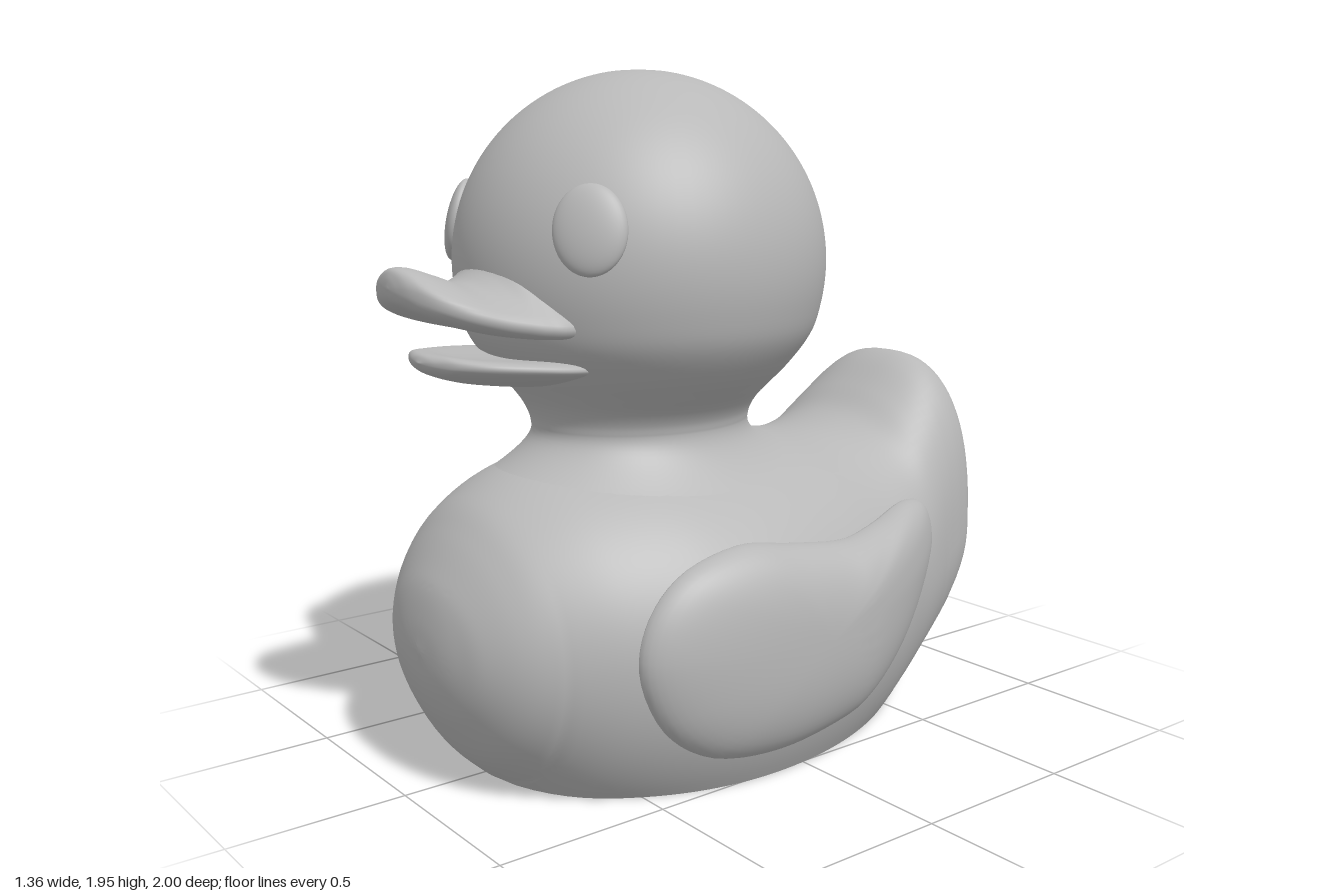
import * as THREE from 'three';
import { mergeVertices, toCreasedNormals } from 'three/addons/utils/BufferGeometryUtils.js';

const V = (x, y, z) => new THREE.Vector3(x, y, z);
const spow = (v, p) => Math.sign(v) * Math.pow(Math.abs(v), p);
const smooth = THREE.MathUtils.smoothstep;
const lerp = THREE.MathUtils.lerp;

// Joins closed cross-section rings into one smooth skin
function loft(rings, flip = false) {
  const n = rings[0].length, pos = [], idx = [];
  rings.forEach(r => r.forEach(p => pos.push(p.x, p.y, p.z)));
  for (let i = 0; i < rings.length - 1; i++) {
    for (let j = 0; j < n; j++) {
      const a = i * n + j, b = i * n + (j + 1) % n, c = b + n, d = a + n;
      if (flip) idx.push(a, d, b, b, d, c);
      else idx.push(a, b, d, b, c, d);
    }
  }
  let g = new THREE.BufferGeometry();
  g.setAttribute('position', new THREE.Float32BufferAttribute(pos, 3));
  g.setIndex(idx);
  g = mergeVertices(g, 1e-4);
  g.computeVertexNormals();
  return g;
}

// Smoothly resamples rows of five numbers
function resample(rows, count) {
  const c1 = new THREE.CatmullRomCurve3(rows.map(r => V(r[0], r[1], r[2])), false, 'catmullrom');
  const c2 = new THREE.CatmullRomCurve3(rows.map(r => V(r[0], r[3], r[4])), false, 'catmullrom');
  return Array.from({ length: count + 1 }, (_, i) => {
    const a = c1.getPoint(i / count), b = c2.getPoint(i / count);
    return [a.x, a.y, a.z, Math.max(0, b.y), b.z];
  });
}

// Body stations from chest to tail: z, top, bottom, half width, height of widest point
const STATIONS = resample([
  [0.945, 0.40, 0.40, 0, 0.4], [0.938, 0.48, 0.32, 0.10, 0.4], [0.92, 0.56, 0.25, 0.18, 0.4],
  [0.89, 0.62, 0.18, 0.26, 0.4], [0.83, 0.71, 0.08, 0.35, 0.4], [0.75, 0.79, 0, 0.42, 0.4],
  [0.6, 0.86, -0.13, 0.515, 0.4], [0.4, 0.90, -0.23, 0.59, 0.4], [0.2, 0.90, -0.29, 0.62, 0.4],
  [0, 0.89, -0.3, 0.615, 0.4], [-0.2, 0.872, -0.27, 0.58, 0.4], [-0.4, 0.855, -0.2, 0.52, 0.4],
  [-0.55, 0.89, -0.12, 0.455, 0.41], [-0.65, 0.965, -0.05, 0.415, 0.43],
  [-0.75, 1.045, 0.02, 0.375, 0.46], [-0.82, 1.068, 0.08, 0.35, 0.49],
  [-0.88, 1.03, 0.17, 0.322, 0.51], [-0.93, 0.91, 0.25, 0.265, 0.52],
  [-0.97, 0.74, 0.35, 0.18, 0.52], [-0.99, 0.63, 0.43, 0.10, 0.52], [-1, 0.52, 0.52, 0, 0.52],
], 120);

function bodyGeometry() {
  const N = 72;
  const rings = STATIONS.map(([z, top, bot, w, cy]) => {
    const p = 2 + 0.6 * (1 - smooth(z, -0.85, -0.4));
    const a0 = bot < 0 ? -Math.asin(Math.min(1, cy / (cy - bot))) : -Math.PI / 2;
    return Array.from({ length: N + 1 }, (_, j) => {
      const a = lerp(a0, Math.PI - a0, j / N), s = Math.sin(a), c = Math.cos(a);
      if (s < 0) return V(w * c, Math.max(0, cy + (cy - bot) * s), z);
      return V(w * spow(c, 2 / p), cy + (top - cy) * spow(s, 2 / p), z);
    });
  });
  return toCreasedNormals(loft(rings, true), 0.6);
}

// Height of the back of the body under the neck
function bodyTop(x, z) {
  const i = STATIONS.findIndex(s => s[0] <= z);
  const a = STATIONS[i - 1], b = STATIONS[i], t = (z - a[0]) / (b[0] - a[0]);
  const [top, w, cy] = [1, 3, 4].map(k => lerp(a[k], b[k], t));
  return cy + (top - cy) * Math.sqrt(Math.max(0, 1 - (x / w) ** 2));
}

const HEAD = V(0, 1.415, 0.2), R = 0.535;

// Round head, narrow neck, and a fillet flaring onto the body
function headGeometry() {
  const N = 72, profile = [];
  for (let i = 0; i <= 12; i++) {
    const a = (i / 12) * 1.95;
    profile.push(V(R * Math.sin(a), HEAD.y + R * Math.cos(a), R * Math.sin(a)));
  }
  profile.push(V(0.43, 1.125, 0.433), V(0.365, 1.065, 0.385), V(0.315, 1.02, 0.355),
    V(0.288, 0.98, 0.338), V(0.28, 0.95, 0.333));
  const around = f => Array.from({ length: N }, (_, j) => f(Math.cos(j / N * 2 * Math.PI), Math.sin(j / N * 2 * Math.PI)));
  const rings = new THREE.CatmullRomCurve3(profile).getPoints(80)
    .map(q => around((c, s) => V(Math.max(0, q.x) * c, q.y, HEAD.z + Math.max(0, q.z) * s)));
  for (let k = 1; k <= 12; k++) {
    const t = k / 12 * Math.PI / 2, f = 1 + 0.45 * (1 - Math.cos(t));
    rings.push(around((c, s) => {
      const x = 0.28 * f * c, z = HEAD.z + 0.333 * f * s;
      return V(x, lerp(0.95, bodyTop(x, z) - 0.004, Math.sin(t)), z);
    }));
  }
  return loft(rings);
}

// Wing: a bean outline (z, y) domed outwards and slightly inwards
function wingGeometry(side) {
  const outline = new THREE.CatmullRomCurve3([
    [0.61, 0.42], [0.58, 0.55], [0.48, 0.65], [0.28, 0.70], [0.1, 0.675], [-0.1, 0.652], [-0.25, 0.67],
    [-0.42, 0.70], [-0.53, 0.67], [-0.575, 0.58], [-0.53, 0.46], [-0.4, 0.3], [-0.2, 0.17],
    [0, 0.115], [0.2, 0.10], [0.4, 0.14], [0.54, 0.25],
  ].map(([z, y]) => V(0, y, z)), true).getPoints(80).slice(0, -1);
  const cz = 0.05, cy = 0.42, rings = [], M = 32;
  for (let i = 0; i <= M; i++) {
    const a = i / M * Math.PI, s = Math.sin(a);
    const dome = Math.sqrt(Math.max(0, 1 - s ** 2.4)) * (a < Math.PI / 2 ? 0.13 : -0.05);
    rings.push(outline.map(p => {
      const z = cz + (p.z - cz) * s, y = cy + (p.y - cy) * s;
      const edge = 0.55 - 0.34 * Math.max(0, -z - 0.1) ** 1.3;
      return V(side * (edge + dome), y, z);
    }));
  }
  return loft(rings, side < 0);
}

// Bill half: rows of z, centre top, centre bottom, half width, edge height
function billGeometry(rows, lip) {
  const N = 48;
  return loft(resample(rows, 48).map(([z, top, bot, w, e]) => {
    const l = lip * Math.min(1, w / 0.12);
    return Array.from({ length: N }, (_, j) => {
      const a = j / N * 2 * Math.PI, s = Math.sin(a), r = Math.abs(s) ** 0.8, r3 = Math.abs(s) ** 3;
      const y = s >= 0 ? e + l * r + (top - e - l) * r3 : e - l * r + (bot - e + l) * r3;
      return V(w * Math.cos(a), y, z);
    });
  }));
}

export function createModel() {
  const duck = new THREE.Group();
  duck.name = 'bathDuck';
  const grey = new THREE.MeshStandardMaterial({ color: 0xb8b8b8 });
  grey.name = 'plain grey';
  const add = (name, geometry) => {
    const mesh = new THREE.Mesh(geometry, grey);
    mesh.name = name;
    duck.add(mesh);
    return mesh;
  };

  add('bodyAndTail', bodyGeometry());
  add('headAndNeck', headGeometry());

  add('upperBill', billGeometry([
    [0.45, 1.46, 1.25, 0.26, 1.27], [0.62, 1.475, 1.25, 0.298, 1.272], [0.69, 1.46, 1.25, 0.29, 1.277],
    [0.74, 1.41, 1.252, 0.275, 1.285], [0.80, 1.385, 1.262, 0.253, 1.297], [0.88, 1.41, 1.285, 0.222, 1.32],
    [0.94, 1.43, 1.31, 0.17, 1.345], [0.98, 1.43, 1.335, 0.10, 1.37], [0.995, 1.41, 1.355, 0.045, 1.378],
    [1.0, 1.38, 1.38, 0, 1.38],
  ], 0.055));
  add('lowerBill', billGeometry([
    [0.45, 1.165, 1.09, 0.25, 1.15], [0.6, 1.17, 1.09, 0.275, 1.16], [0.7, 1.175, 1.1, 0.255, 1.168],
    [0.8, 1.185, 1.117, 0.205, 1.175], [0.87, 1.2, 1.138, 0.14, 1.18], [0.905, 1.2, 1.157, 0.07, 1.18],
    [0.92, 1.18, 1.18, 0, 1.18],
  ], 0.032));

  // Mirrored wings and eyes
  for (const side of [1, -1]) {
    const label = side > 0 ? 'left' : 'right';
    add(label + 'Wing', wingGeometry(side));
    const eye = add(label + 'Eye', new THREE.SphereGeometry(1, 40, 24));
    const dir = V(side * 0.335, 0.115, 0.4).normalize();
    eye.position.copy(HEAD).addScaledVector(dir, R - 0.005);
    eye.lookAt(eye.position.clone().add(dir));
    eye.rotateZ(side * 0.1);
    eye.scale.set(0.1, 0.12, 0.035);
  }
  return duck;
}
